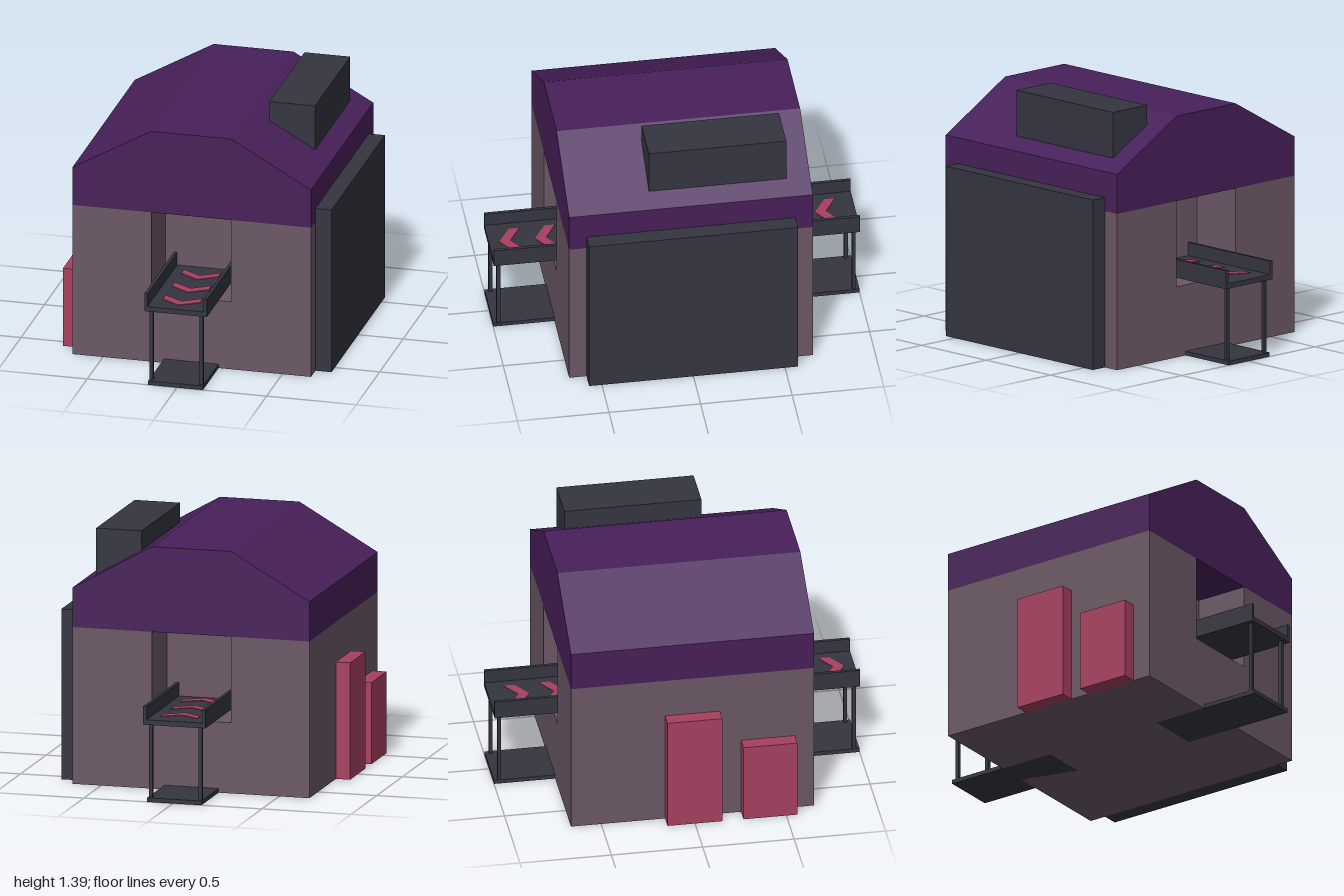
import * as THREE from 'three';

export function createModel() {
  const model = new THREE.Group();
  const mat = (name, color) => {
    const m = new THREE.MeshStandardMaterial({ color });
    m.name = name;
    return m;
  };
  const wall = mat('mauve wall', 0x6b5865);
  const purple = mat('purple roof', 0x48205a);
  const dark = mat('dark metal', 0x343540);
  const red = mat('crimson', 0xa84060);

  const add = (parent, name, geometry, material) => {
    const mesh = new THREE.Mesh(geometry, material);
    mesh.name = name;
    parent.add(mesh);
    return mesh;
  };
  // Box given by its minimum and maximum on each axis
  const box = (parent, name, material, x0, x1, y0, y1, z0, z1) => {
    const g = new THREE.BoxGeometry(x1 - x0, y1 - y0, z1 - z0);
    g.translate((x0 + x1) / 2, (y0 + y1) / 2, (z0 + z1) / 2);
    return add(parent, name, g, material);
  };
  const shape = (pts) => new THREE.Shape(pts.map(([x, y]) => new THREE.Vector2(x, y)));
  const extrude = (pts, depth) =>
    new THREE.ExtrudeGeometry(shape(pts), { depth, bevelEnabled: false });

  const L = -0.67, R = 0.66, Z = 0.665;      // building footprint
  const hl = -0.23, hr = 0.215, hz = 0.365;  // hatch sides and back wall
  const sill = 0.39, eave = 0.865;

  // Walls: solid lower block, H-shaped plan above it leaves a hatch front and back
  box(model, 'lowerWalls', wall, L, R, 0, sill, -Z, Z);
  const plan = extrude([
    [L, -Z], [hl, -Z], [hl, -hz], [hr, -hz], [hr, -Z], [R, -Z],
    [R, Z], [hr, Z], [hr, hz], [hl, hz], [hl, Z], [L, Z],
  ], eave - sill);
  plan.rotateX(-Math.PI / 2).translate(0, sill, 0);
  add(model, 'upperWalls', plan, wall);

  // Roof with a flat ridge
  const roof = extrude([
    [L, eave], [R, eave], [R, 1.083], [hr, 1.335], [hl, 1.335], [L, 1.083],
  ], 2 * Z);
  add(model, 'roof', roof.translate(0, 0, -Z), purple);

  // Rooftop unit, its underside following the slope
  const unit = extrude([[0.31, 1.27], [0.565, 1.135], [0.565, 1.39], [0.31, 1.39]], 0.75);
  add(model, 'roofUnit', unit.translate(0, 0, -0.535), dark);

  // Side equipment
  box(model, 'sidePanel', dark, R, 0.75, 0, 0.94, -0.57, 0.57);
  box(model, 'tallCabinet', red, -0.75, L, 0, 0.645, -0.15, 0.15);
  box(model, 'shortCabinet', red, -0.75, L, 0, 0.45, 0.265, 0.56);

  // Conveyors at both ends, arrows all running towards the front
  const arrow = [
    [-0.11, 0], [-0.005, 0.065], [0.097, 0],
    [0.097, 0.058], [-0.005, 0.125], [-0.11, 0.058],
  ];
  for (const s of [1, -1]) {
    const conveyor = new THREE.Group();
    conveyor.name = s > 0 ? 'frontConveyor' : 'backConveyor';
    model.add(conveyor);
    const part = (name, x0, x1, y0, y1, z0, z1) =>
      box(conveyor, name, dark, x0, x1, y0, y1, Math.min(s * z0, s * z1), Math.max(s * z0, s * z1));

    part('belt', -0.182, 0.167, 0.425, 0.453, 0.35, 1);
    part('rightRail', -0.182, -0.164, 0.453, 0.527, 0.35, 1);
    part('leftRail', 0.149, 0.167, 0.453, 0.527, 0.35, 1);
    part('foot', -0.16, 0.145, 0, 0.023, 0.35, 1);
    part('rightLeg', -0.158, -0.138, 0.023, 0.425, 0.96, 0.98);
    part('leftLeg', 0.12, 0.14, 0.023, 0.425, 0.96, 0.98);

    for (let i = 0; i < 3; i++) {
      const g = extrude(arrow, 0.004);
      g.rotateX(Math.PI / 2);
      const z = s > 0 ? 0.818 - i * 0.195 : -0.905 + i * 0.195;
      add(conveyor, 'beltArrow', g.translate(0, 0.457, z), red);
    }
  }
  return model;
}
